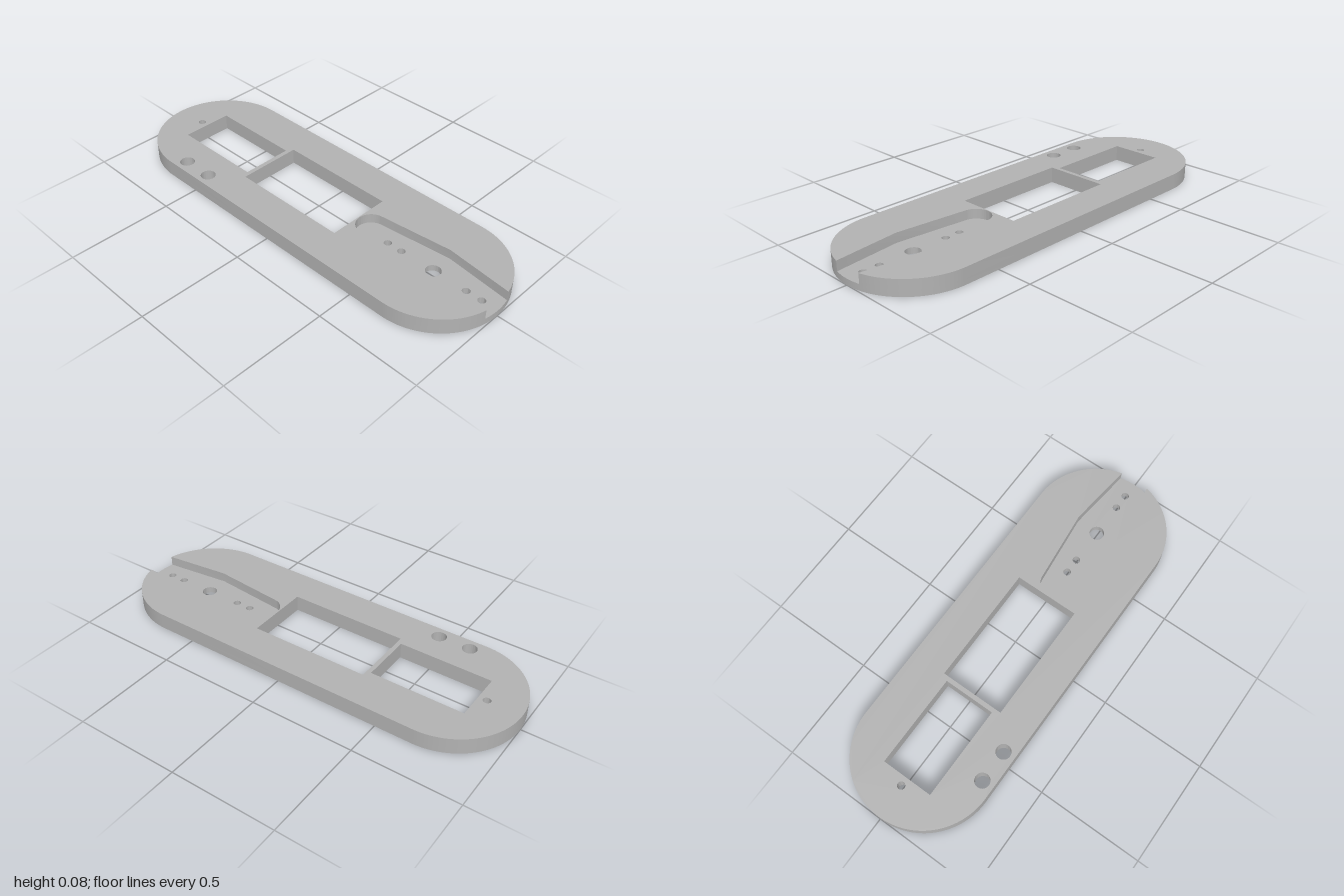
import * as THREE from 'three';
import { toCreasedNormals } from 'three/addons/utils/BufferGeometryUtils.js';

const R = 0.327, C = 0.673;          // end radius and end centre distance
const FLOOR = 0.03, TOP = 0.077;     // recess floor and plate top
const SLOT_R = 0.073, SLOT_Z = 0.325, SLOT_WIDE = 0.109, TILT = 0.105;
const MOUTH = Math.acos(SLOT_R / R); // angle where the recess meets the rounded end
const SEG = 48;

// Plans are drawn with y = -z, then laid flat.
function circle(x, z, r) {
  const p = new THREE.Path();
  p.absarc(x, -z, r, 0, Math.PI * 2, true);
  return p;
}

function rect(x, z0, z1) {
  return new THREE.Path([[-x, -z0], [x, -z0], [x, -z1], [-x, -z1]]
    .map(([a, b]) => new THREE.Vector2(a, b))).closePath();
}

// Tapered recess edge, from its left widest point round the tip to the right one
function slotEdge(s) {
  s.lineTo(-SLOT_WIDE, -C + 0.001);
  s.absarc(0, -SLOT_Z, SLOT_R, Math.PI - TILT, TILT, true);
  s.lineTo(SLOT_WIDE, -C + 0.001);
}

function fullPlan() {
  const s = new THREE.Shape();
  s.absarc(0, C, R, 0, Math.PI, false);
  s.absarc(0, -C, R, Math.PI, Math.PI * 2, false);
  s.closePath();
  return s;
}

function cutPlan() {
  const s = new THREE.Shape();
  s.absarc(0, -C, R, -MOUTH, 0, false);
  s.absarc(0, C, R, 0, Math.PI, false);
  s.absarc(0, -C, R, Math.PI, Math.PI + MOUTH, false);
  slotEdge(s);
  s.closePath();
  return s;
}

function floorPlan() {
  const s = new THREE.Shape();
  s.absarc(0, -C, R, -MOUTH, -Math.PI + MOUTH, true);
  slotEdge(s);
  s.closePath();
  return s;
}

// Flat face at height y
function cap(shape, y, down = false) {
  const g = new THREE.ShapeGeometry(shape, SEG);
  if (down) {
    g.scale(1, -1, 1);
    const i = g.index;
    for (let k = 0; k < i.count; k += 3) {
      const a = i.getX(k);
      i.setX(k, i.getX(k + 2));
      i.setX(k + 2, a);
    }
    // mirrored and turned over so that it faces down
    g.rotateX(Math.PI / 2);
    g.scale(1, 1, 1);
    g.computeVertexNormals();
  } else g.rotateX(-Math.PI / 2);
  return g.translate(0, y, 0);
}

// Side walls only, from y0 to y1
function walls(shape, y0, y1) {
  const e = new THREE.ExtrudeGeometry(shape, { depth: y1 - y0, bevelEnabled: false, curveSegments: SEG });
  const { start, count } = e.groups[1];
  const g = new THREE.BufferGeometry();
  g.setAttribute('position', new THREE.BufferAttribute(
    e.attributes.position.array.slice(start * 3, (start + count) * 3), 3));
  g.rotateX(-Math.PI / 2).translate(0, y0, 0);
  return toCreasedNormals(g, Math.PI / 7);
}

export function createModel() {
  const group = new THREE.Group();
  group.name = 'mountingPlate';
  const grey = new THREE.MeshStandardMaterial({ color: 0xb2b2b2, side: THREE.DoubleSide });
  grey.name = 'plate grey';
  const add = (name, geometry) => {
    const m = new THREE.Mesh(geometry, grey);
    m.name = name;
    group.add(m);
  };

  // Windows and holes through the full thickness
  const through = [
    rect(0.125, -0.8, -0.352), rect(0.156, -0.331, 0.248),
    circle(0, -0.84, 0.018), circle(-0.27, -0.62, 0.035), circle(-0.27, -0.465, 0.035),
  ];
  // Holes in the recess floor
  const floorHoles = [[0.42, 0.018], [0.497, 0.018], [0.672, 0.035], [0.843, 0.018], [0.921, 0.018]]
    .map(([z, r]) => circle(0, z, r));

  const lower = fullPlan(), upper = cutPlan(), floor = floorPlan();
  lower.holes = [...through, ...floorHoles];
  upper.holes = through;
  floor.holes = floorHoles;

  add('underside', cap(lower, 0, true));
  add('lowerWalls', walls(lower, 0, FLOOR));
  add('recessFloor', cap(floor, FLOOR));
  add('upperWalls', walls(upper, FLOOR, TOP));
  add('topFace', cap(upper, TOP));
  return group;
}
